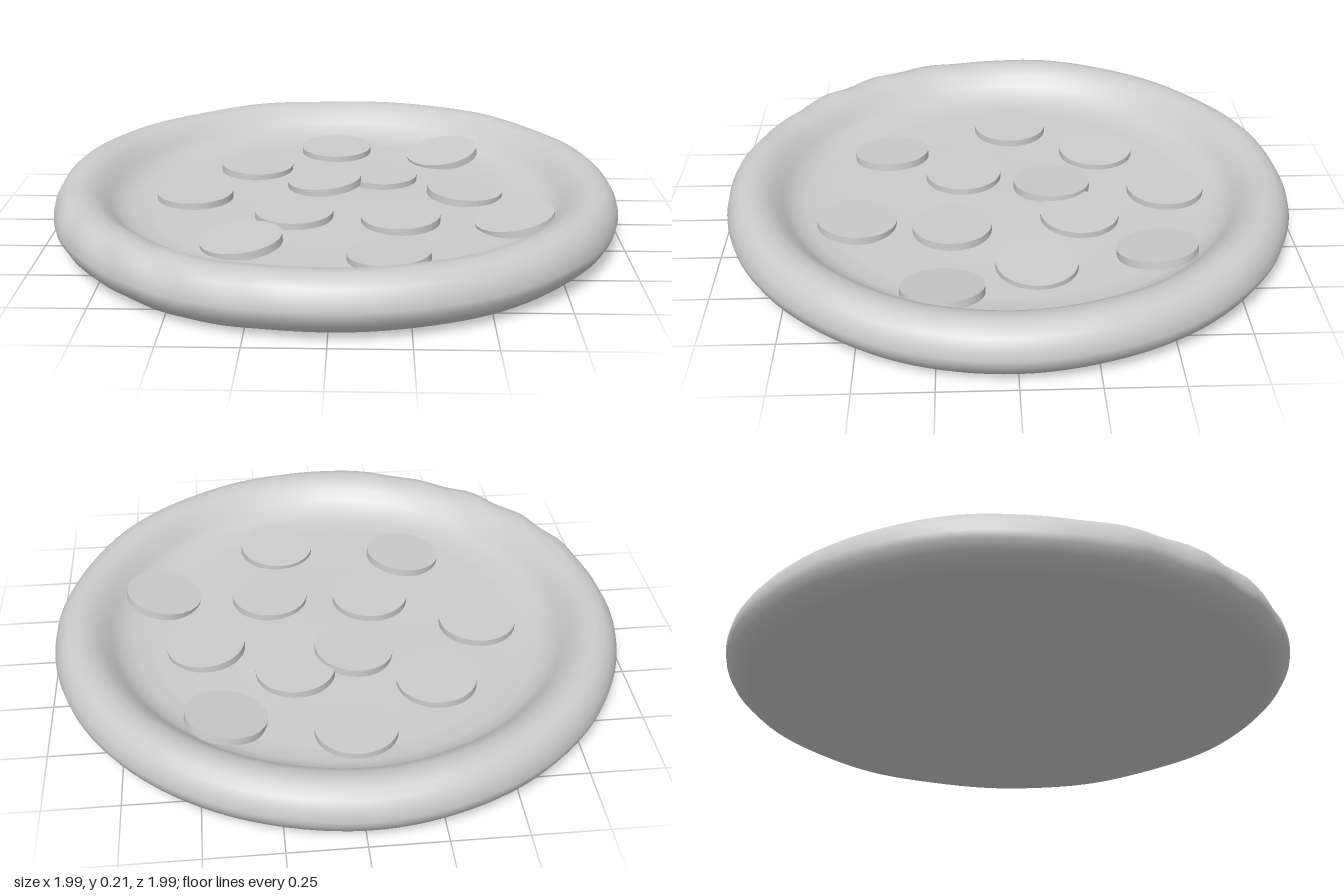
import * as THREE from 'three';

const material = new THREE.MeshStandardMaterial({ color: 0xcccccc });

// gentle hand-made unevenness around the rim, strongest at the front left
function ripple(a) {
  return 0.5 * Math.sin(3 * a + 1) + 0.3 * Math.sin(7 * a + 2) + 0.2 * Math.sin(12 * a);
}

function lathe(name, points, deform) {
  const v = points.map(([r, y]) => new THREE.Vector2(r, y));
  const geo = new THREE.LatheGeometry(v, 128);
  const p = geo.attributes.position;
  for (let i = 0; i < p.count; i++) deform(p, i);
  // the seam repeats the first column, so it shares that column's normals
  geo.computeVertexNormals();
  const n = geo.attributes.normal, rows = points.length, last = 128 * rows;
  const t = new THREE.Vector3(), u = new THREE.Vector3();
  for (let j = 0; j < rows; j++) {
    t.fromBufferAttribute(n, j).add(u.fromBufferAttribute(n, last + j)).normalize();
    n.setXYZ(j, t.x, t.y, t.z);
    n.setXYZ(last + j, t.x, t.y, t.z);
  }
  const mesh = new THREE.Mesh(geo, material);
  mesh.name = name;
  return mesh;
}

export function createModel() {
  const group = new THREE.Group();
  group.name = 'pizza';

  // rounded crust: from the underside, round the outside, over the rim and down to the filling
  const rim = [
    [0.86, 0.012], [0.91, 0.015], [0.945, 0.026], [0.975, 0.055], [0.992, 0.085], [0.997, 0.11],
    [0.988, 0.145], [0.97, 0.175], [0.945, 0.196], [0.91, 0.205], [0.87, 0.2],
    [0.83, 0.176], [0.8, 0.142], [0.765, 0.112], [0.72, 0.097], [0.66, 0.092],
  ];
  group.add(lathe('crust', rim, (p, i) => {
    const x = p.getX(i), y = p.getY(i), z = p.getZ(i);
    const a = Math.atan2(z, x), r = Math.hypot(x, z);
    const w = THREE.MathUtils.smoothstep(r, 0.72, 0.88);
    const rough = Math.exp(-(((a - 2.4) / 0.5) ** 2)) * Math.sin(24 * a + 30 * r);
    const k = 1 + w * (0.003 * ripple(a) + 0.003 * rough);
    p.setXYZ(i, x * k, y + w * (0.007 * ripple(a + 1) + 0.004 * rough), z * k);
  }));

  // slightly uneven filling surface
  const floor = [[0.68, 0.092], [0.55, 0.09], [0.4, 0.09], [0.25, 0.09], [0.12, 0.09], [0, 0.09]];
  group.add(lathe('filling', floor, (p, i) => {
    const x = p.getX(i), z = p.getZ(i), fade = Math.max(0, 1 - Math.hypot(x, z) / 0.66);
    p.setY(i, p.getY(i) + 0.004 * fade * Math.sin(7 * x + 1) * Math.cos(6 * z));
  }));

  // flat underside
  const base = new THREE.Mesh(new THREE.CircleGeometry(0.88, 128), material);
  base.name = 'base';
  base.rotation.x = Math.PI / 2;
  base.position.y = 0.012;
  group.add(base);

  // sausage slices: x, z, tilt about x, tilt about z, lift
  const slices = [
    [-0.01, -0.57, 0.02, 0, 0], [0.41, -0.485, 0.1, 0.16, 0.012],
    [-0.31, -0.345, 0, -0.03, 0], [0.165, -0.245, 0, -0.02, 0],
    [-0.045, -0.16, 0, 0.08, 0.008], [0.47, -0.08, 0, -0.05, 0],
    [-0.51, -0.025, 0, 0, 0], [-0.14, 0.16, 0, 0, 0],
    [0.23, 0.2, 0, 0.03, 0], [0.62, 0.23, 0, 0.2, 0.012],
    [-0.3, 0.43, 0.02, 0.1, 0.005], [0.185, 0.53, -0.06, 0.05, 0],
  ];
  const sliceGeo = new THREE.CylinderGeometry(0.137, 0.137, 0.027, 64);
  slices.forEach(([x, z, tx, tz, lift], i) => {
    const slice = new THREE.Mesh(sliceGeo, material);
    slice.name = `sausageSlice${i + 1}`;
    slice.position.set(x, 0.1 + lift, z);
    slice.rotation.set(tx, 0, tz);
    group.add(slice);
  });

  return group;
}
